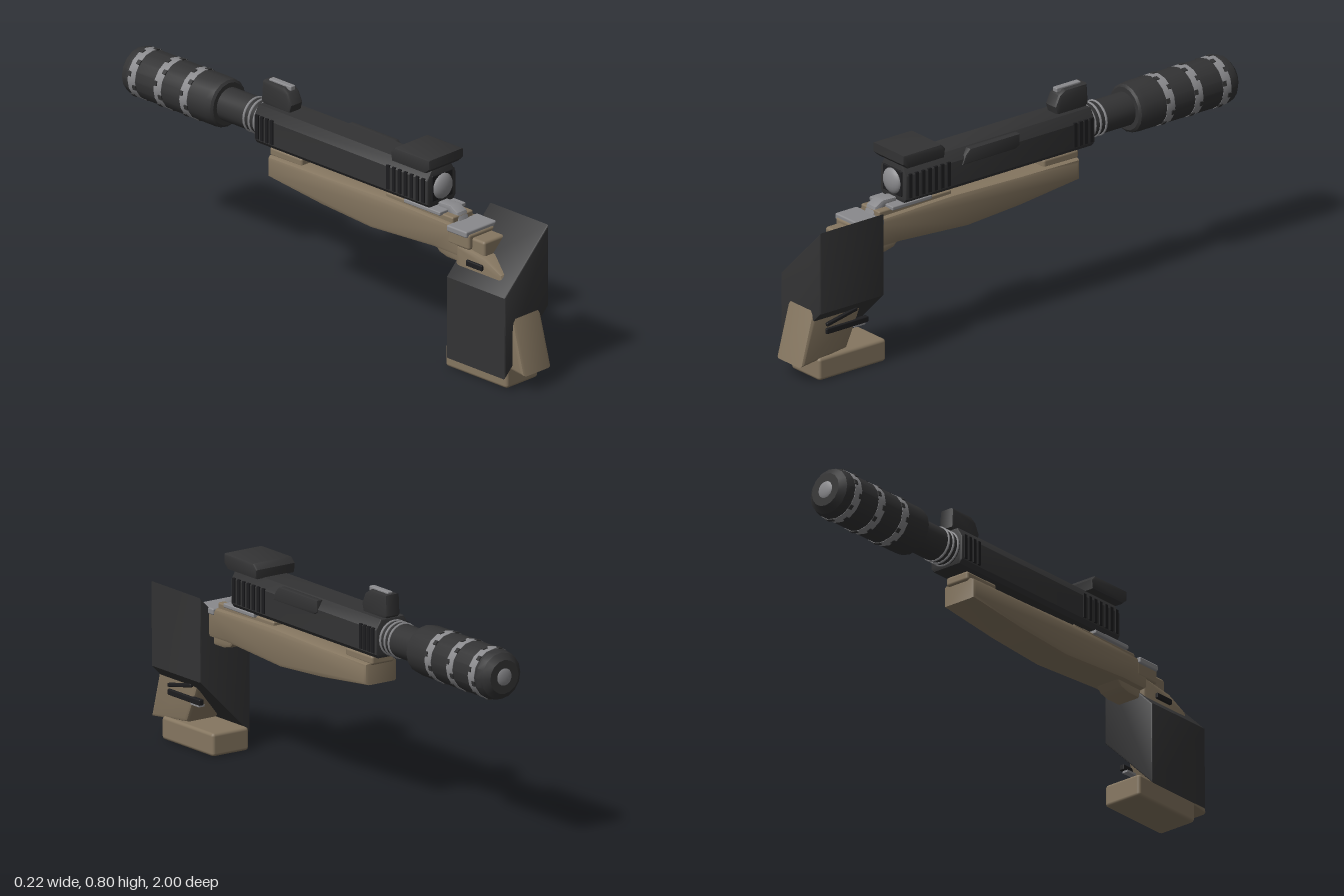
import * as THREE from 'three';
import { RoundedBoxGeometry } from 'three/addons/geometries/RoundedBoxGeometry.js';
import { toCreasedNormals } from 'three/addons/utils/BufferGeometryUtils.js';

const material = (name, color) => {
  const m = new THREE.MeshStandardMaterial({ color });
  m.name = name;
  return m;
};

export function createModel() {
  const dark = material('charcoal', 0x333334);
  const black = material('black', 0x1d1d1f);
  const tan = material('tan', 0x857660);
  const grey = material('steel grey', 0x8a8a8d);
  const model = new THREE.Group();

  const add = (name, geometry, mat) => {
    const mesh = new THREE.Mesh(geometry, mat);
    mesh.name = name;
    model.add(mesh);
    return mesh;
  };
  // Box given by its limits on each axis
  const box = (name, mat, x0, x1, y0, y1, z0, z1, r = 0) => {
    const size = [x1 - x0, y1 - y0, z1 - z0];
    const g = r ? new RoundedBoxGeometry(...size, 2, r) : new THREE.BoxGeometry(...size);
    g.translate((x0 + x1) / 2, (y0 + y1) / 2, (z0 + z1) / 2);
    return add(name, g, mat);
  };
  // Bevelled extrusion of an outline along +z, from z = 0 to depth
  const extrude = (points, depth, bevel) => {
    const g = new THREE.ExtrudeGeometry(new THREE.Shape(points.map(p => new THREE.Vector2(...p))), {
      depth: depth - 2 * bevel, bevelEnabled: bevel > 0, bevelSize: bevel,
      bevelOffset: -bevel, bevelThickness: bevel, bevelSegments: 2,
    });
    return g.translate(0, 0, bevel);
  };
  // Side profile in (z, y), centred across x
  const profile = (name, mat, points, width, bevel = 0.01) => {
    const g = extrude(points, width, bevel).translate(0, 0, -width / 2).rotateY(-Math.PI / 2);
    return add(name, toCreasedNormals(g, 0.6), mat);
  };
  // Turned part along -z; points are (radius, distance behind z = 0)
  const AXIS = 0.64;
  const turned = (name, mat, points, sides) => {
    const g = new THREE.LatheGeometry(points.map(p => new THREE.Vector2(...p)), sides);
    g.rotateX(-Math.PI / 2).translate(0, AXIS, 0);
    return add(name, toCreasedNormals(g, 0.45), mat);
  };

  // Lower frame
  profile('frame', tan, [[0.68, 0.43], [0.68, 0.54], [0.3, 0.548], [0, 0.54], [-0.27, 0.536],
    [-0.27, 0.458], [0, 0.428], [0.24, 0.412], [0.55, 0.432]], 0.142, 0.014);
  profile('frameUnderside', tan, [[0.68, 0.4], [0.68, 0.45], [0.52, 0.45], [0.56, 0.41], [0.6, 0.4]], 0.1, 0.008);
  box('frontPad', tan, -0.05, 0.05, 0.53, 0.565, -0.28, -0.12, 0.01);
  box('frameRail', tan, -0.052, 0.052, 0.535, 0.562, 0.3, 0.63, 0.006);

  // Slanted grip, its tang and the base
  profile('grip', tan, [[1, 0.065], [0.945, 0.27], [0.885, 0.42], [0.8, 0.46], [0.66, 0.48],
    [0.66, 0.4], [0.74, 0.2], [0.79, 0.09]], 0.142, 0.014);
  box('tang', tan, -0.055, 0.05, 0.43, 0.515, 0.62, 0.79, 0.01);
  box('tangShoulder', tan, -0.072, 0.06, 0.47, 0.53, 0.62, 0.73, 0.01);
  box('base', tan, -0.08, 0.08, 0, 0.085, 0.62, 0.925, 0.012);

  // Sheared hand cover
  const cover = extrude([[-0.11, 0.052], [0.11, 0.27], [0.11, 0.58], [-0.11, 0.362]], 0.29, 0.006);
  add('handCover', toCreasedNormals(cover.translate(0, 0, 0.655), 0.6), dark);

  // Small levers on the grip
  box('sideLever', black, 0.06, 0.08, 0.17, 0.192, 0.7, 0.89, 0.004);
  const upperLever = box('slantedLever', black, -0.01, 0.01, -0.007, 0.007, -0.07, 0.07, 0.004);
  upperLever.position.set(0.072, 0.22, 0.82);
  upperLever.rotation.x = 0.2;
  box('leverPin', grey, 0.05, 0.074, 0.162, 0.17, 0.71, 0.76);
  box('catch', black, -0.08, -0.06, 0.414, 0.436, 0.72, 0.8, 0.004);

  // Steel hinge plate and hammer
  box('hingePlate', grey, -0.08, 0.076, 0.518, 0.542, 0.625, 0.725, 0.006);
  box('hingeStep', grey, -0.066, 0.066, 0.557, 0.572, 0.4, 0.58, 0.004);
  profile('hammer', grey, [[0.64, 0.53], [0.625, 0.57], [0.59, 0.588], [0.53, 0.585], [0.53, 0.56],
    [0.58, 0.56], [0.595, 0.53]], 0.05, 0.005);

  // Upper slide with chamfered section
  const section = [[-0.06, 0.57], [0.06, 0.57], [0.072, 0.585], [0.072, 0.675], [0.05, 0.712],
    [-0.05, 0.712], [-0.072, 0.675], [-0.072, 0.585]];
  add('slide', toCreasedNormals(extrude(section, 0.86, 0.006).translate(0, 0, -0.335), 0.5), dark);
  box('rearFrame', black, -0.052, 0.052, 0.592, 0.69, 0.5, 0.53, 0.004);
  const button = new THREE.SphereGeometry(0.049, 24, 12).scale(1, 1, 0.5).translate(0, AXIS, 0.525);
  add('rearButton', button, grey);
  profile('sidePort', dark, [[0.27, 0.655], [0.255, 0.69], [0.235, 0.708], [0.01, 0.708], [0.01, 0.665], [0.03, 0.655]],
    0.03, 0.004).position.x = 0.062;
  // Grip ribs on both flanks, rear and front
  for (const side of [-1, 1]) {
    const rib = (z) => box('slideRib', black, side * 0.0725 - 0.004, side * 0.0725 + 0.004, 0.59, 0.682, z - 0.007, z + 0.007);
    for (let i = 0; i < 7; i++) rib(0.505 - i * 0.029);
    for (let i = 0; i < 4; i++) rib(-0.245 - i * 0.024);
  }

  // Sights
  profile('rearSight', dark, [[0.525, 0.71], [0.548, 0.73], [0.548, 0.765], [0.375, 0.765], [0.355, 0.745],
    [0.36, 0.71]], 0.174, 0.008);
  profile('frontSight', dark, [[-0.2, 0.705], [-0.19, 0.74], [-0.21, 0.78], [-0.235, 0.796], [-0.335, 0.796],
    [-0.34, 0.72], [-0.325, 0.705]], 0.062, 0.01);
  box('frontSightInsert', grey, -0.012, 0.012, 0.785, 0.803, -0.32, -0.21, 0.004);

  // Barrel and collar rings
  turned('barrel', dark, [[0, 0.3], [0.062, 0.3], [0.062, 0.56], [0, 0.56]], 20);
  for (const z of [-0.345, -0.37, -0.395]) {
    add('collarRing', new THREE.TorusGeometry(0.062, 0.005, 6, 24).translate(0, AXIS, z), grey);
  }

  // Muzzle sleeve with steel bands and dark teeth
  turned('muzzleSleeve', dark, [[0, 0.528], [0.08, 0.528], [0.089, 0.535], [0.092, 0.56], [0.092, 0.95],
    [0.085, 0.975], [0.062, 0.995], [0, 0.995]], 16);
  for (const z of [0.665, 0.793, 0.921]) {
    turned('sleeveBand', grey, [[0.09, z - 0.018], [0.0935, z - 0.018], [0.0935, z + 0.018], [0.09, z + 0.018]], 16);
    for (let i = 0; i < 12; i++) {
      const a = (i + 0.5) * Math.PI / 6;
      const tooth = box('bandTooth', dark, -0.009, 0.009, 0.086, 0.0955, -0.008, 0.008);
      tooth.rotation.z = a;
      tooth.position.set(0, AXIS, -z + (i % 2 ? 0.012 : -0.012));
    }
  }
  add('muzzleCap', new THREE.SphereGeometry(0.036, 20, 10).scale(1, 1, 0.3).translate(0, AXIS, -0.99), grey);
  return model;
}
